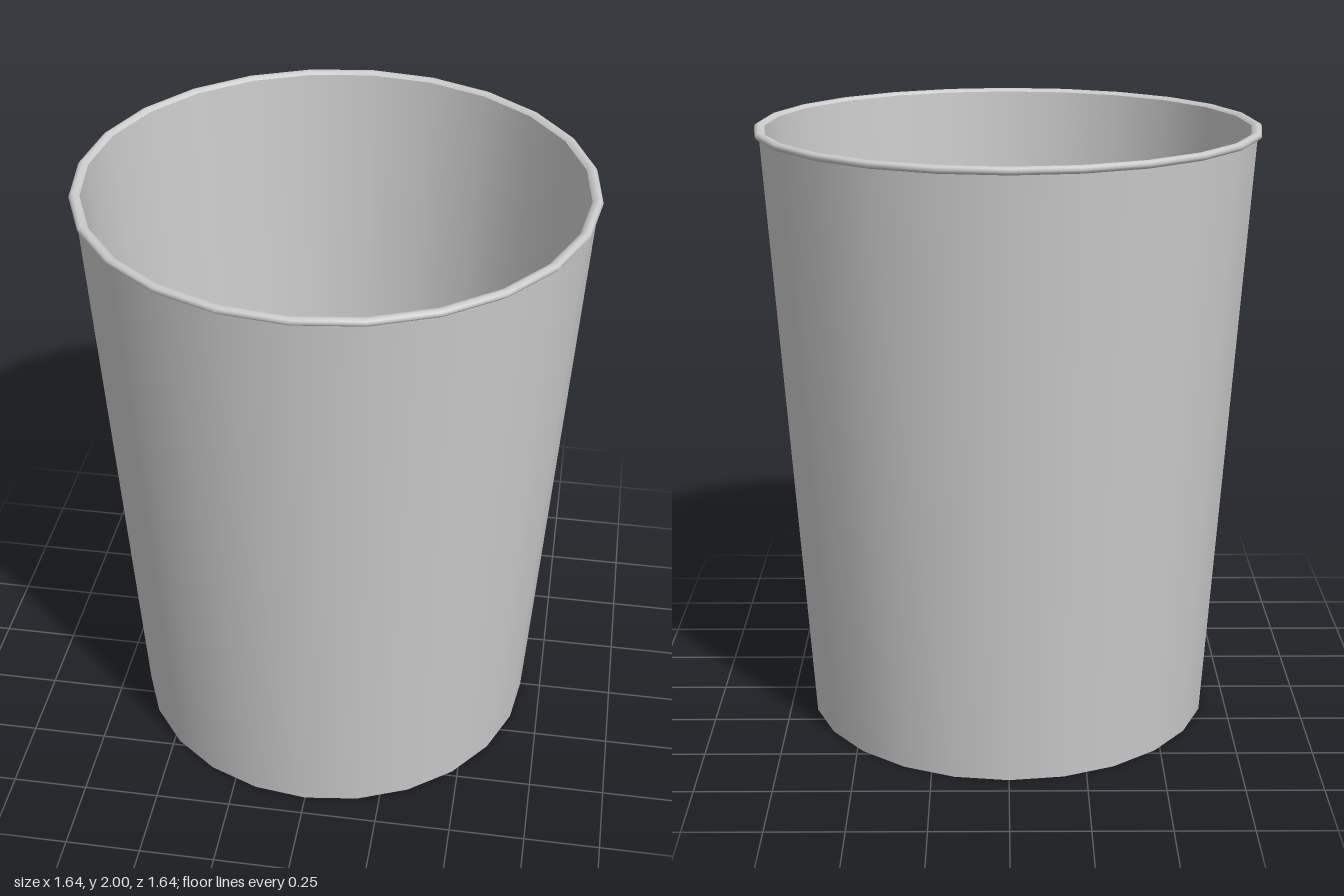
import * as THREE from 'three';

const SIDES = 24;

export function createModel() {
  const group = new THREE.Group();
  group.name = 'cup';
  const material = new THREE.MeshStandardMaterial({ color: 0xcccccc });

  // Each part is its own lathe, so the edges between parts stay sharp.
  const addPart = (name, profile) => {
    const points = profile.map(([r, y]) => new THREE.Vector2(r, y));
    const mesh = new THREE.Mesh(new THREE.LatheGeometry(points, SIDES), material);
    mesh.name = name;
    group.add(mesh);
  };

  // Profiles run from the underside, up the outside, over the rim and down inside.
  addPart('base', [[0, 0], [0.68, 0]]);
  addPart('outerWall', [[0.68, 0], [0.805, 1.975]]);
  addPart('rolledRim', [
    [0.805, 1.975], [0.814, 1.979], [0.819, 1.987],
    [0.815, 1.995], [0.806, 2], [0.794, 1.998], [0.785, 1.99],
  ]);
  addPart('innerWall', [[0.785, 1.99], [0.66, 0.01]]);
  addPart('floor', [[0.66, 0.01], [0, 0.01]]);

  return group;
}
